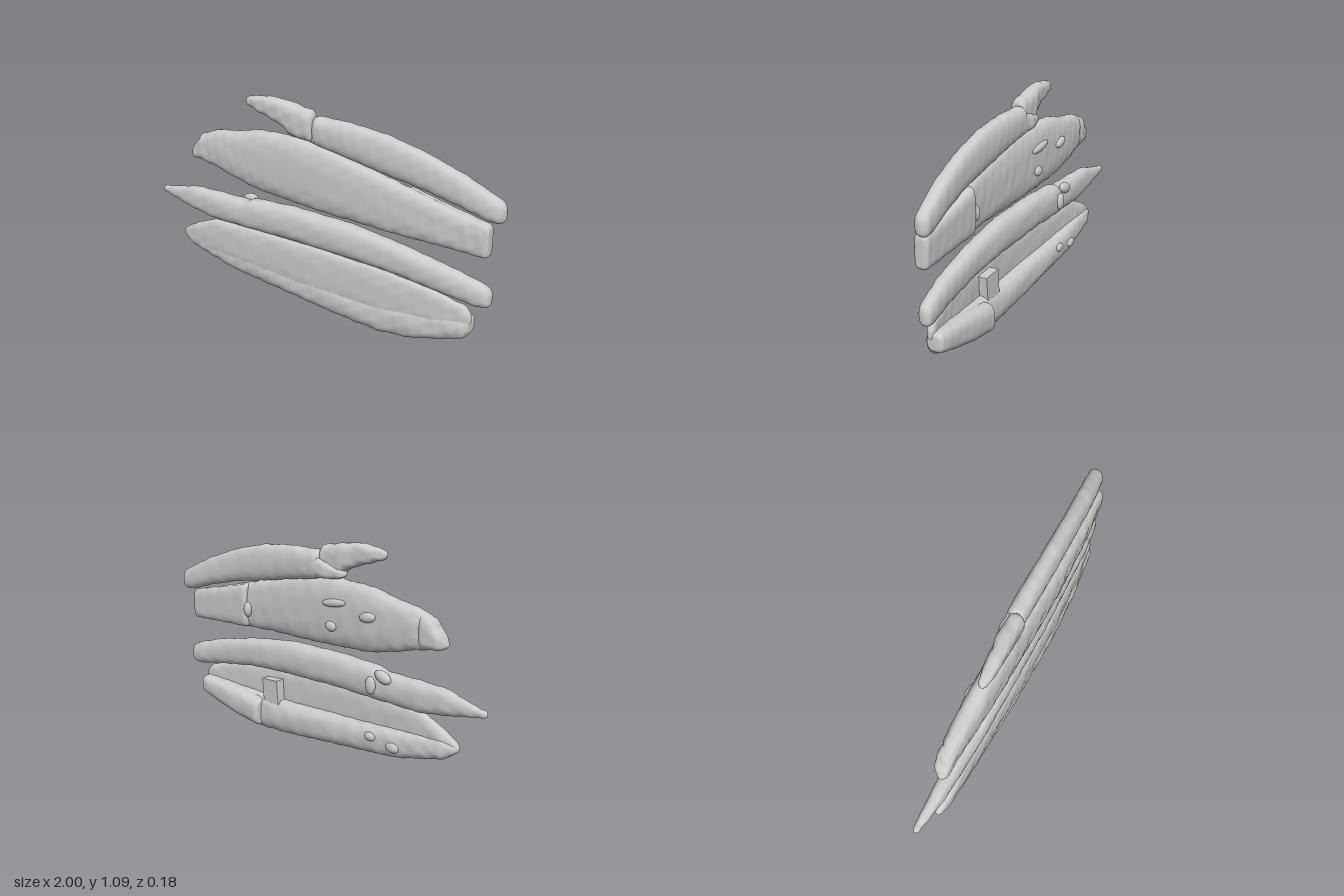
import * as THREE from 'three';

const material = new THREE.MeshStandardMaterial({ color: 0xcccccc, roughness: 0.9 });

// Gentle deterministic unevenness for the worn surface
function bump(x, y, z) {
  return Math.sin(31 * x + 17 * y + 2 * z) * Math.sin(43 * y - 13 * x + 5) * 0.5
    + Math.sin(71 * x - 39 * y + 30 * z) * Math.sin(67 * y + 23 * x) * 0.5;
}

// Interpolate the sections [x, yBottom, yTop, zBack, zFront] at x
function sectionAt(sections, x) {
  let i = 0;
  while (i < sections.length - 2 && x > sections[i + 1][0]) i++;
  const a = sections[i], b = sections[i + 1];
  const t = THREE.MathUtils.clamp((x - a[0]) / (b[0] - a[0]), 0, 1);
  return a.map((v, k) => v + (b[k] - v) * t);
}

// Closed rounded strip lofted along x, with rounded ends
function strip(name, sections, { round = 0.03, power = 2.8, rough = 0.004, rows = 110, sides = 36 } = {}) {
  const x0 = sections[0][0], x1 = sections[sections.length - 1][0];
  const pos = [], index = [];
  for (let i = 0; i <= rows; i++) {
    const x = x0 + (x1 - x0) * (0.5 - 0.5 * Math.cos(Math.PI * i / rows));
    const [, yb, yt, zb, zf] = sectionAt(sections, x);
    const d = Math.min(1, Math.min(x - x0, x1 - x) / round);
    const inset = round * (1 - Math.sqrt(Math.max(0, 1 - (1 - d) ** 2)));
    const hy = (yt - yb) / 2, hz = (zf - zb) / 2;
    const ry = Math.max(0, hy - Math.min(inset, hy * (1 - Math.sqrt(d * (2 - d)))));
    const rz = Math.max(0, hz - Math.min(inset, hz * (1 - Math.sqrt(d * (2 - d)))));
    const end = i === 0 || i === rows;
    for (let j = 0; j < sides; j++) {
      const a = j / sides * Math.PI * 2, c = Math.cos(a), s = Math.sin(a);
      const y = (yb + yt) / 2 + (end ? 0 : ry * Math.sign(c) * Math.abs(c) ** (2 / power));
      const z = (zb + zf) / 2 + (end ? 0 : rz * Math.sign(s) * Math.abs(s) ** (2 / power));
      const n = end ? 0 : rough * d * bump(x, y, z);
      pos.push(x, y + n * c, z + n * s);
    }
  }
  for (let i = 0; i < rows; i++) {
    for (let j = 0; j < sides; j++) {
      const a = i * sides + j, b = i * sides + (j + 1) % sides;
      index.push(a, b, a + sides, b, b + sides, a + sides);
    }
  }
  const geo = new THREE.BufferGeometry();
  geo.setAttribute('position', new THREE.Float32BufferAttribute(pos, 3));
  geo.setIndex(index);
  geo.computeVertexNormals();
  const mesh = new THREE.Mesh(geo, material);
  mesh.name = name;
  return mesh;
}

// Small lump on the back
function lump(name, x, y, z, rx, ry, rz, tilt = 0) {
  const mesh = new THREE.Mesh(new THREE.SphereGeometry(1, 16, 12), material);
  mesh.name = name;
  mesh.position.set(x, y, z);
  mesh.scale.set(rx, ry, rz);
  mesh.rotation.z = tilt;
  return mesh;
}

function part(name, ...meshes) {
  const g = new THREE.Group();
  g.name = name;
  g.add(...meshes);
  return g;
}

export function createModel() {
  const model = new THREE.Group();
  model.name = 'layeredStrips';

  // Top strip: curved body, broken tip and the tongue under the break
  model.add(part('topStrip',
    strip('topBody', [
      [0.0, 0.895, 1.035, -0.035, 0.06], [0.2, 0.86, 1.032, -0.04, 0.055],
      [0.4, 0.82, 1.01, -0.045, 0.045], [0.6, 0.785, 0.96, -0.055, 0.032],
      [0.8, 0.735, 0.885, -0.075, 0.015], [0.92, 0.695, 0.825, -0.088, -0.004], [0.995, 0.69, 0.79, -0.092, -0.02],
    ], { round: 0.035, rough: 0.002, power: 2.5 }),
    strip('topTip', [
      [-0.38, 1.04, 1.075, 0.04, 0.075], [-0.33, 1.025, 1.088, 0.025, 0.085],
      [-0.2, 0.98, 1.095, 0.01, 0.085], [-0.14, 0.955, 1.088, -0.005, 0.08],
      [-0.12, 0.925, 1.083, -0.01, 0.08], [0.012, 0.905, 1.06, -0.01, 0.07],
    ], { round: 0.025, rows: 60 }),
    strip('topTongue', [
      [-0.15, 0.915, 0.955, -0.01, 0.05], [-0.05, 0.905, 0.985, -0.035, 0.05], [0.06, 0.89, 1.01, -0.035, 0.05],
    ], { rows: 40 })));

  // Upper wide strip: body, thicker sleeve at the right and a loose nub at the left
  model.add(part('upperWideStrip',
    strip('upperBody', [
      [-0.71, 0.68, 0.81, 0.01, 0.075], [-0.6, 0.66, 0.855, -0.015, 0.08], [-0.5, 0.63, 0.865, -0.025, 0.083],
      [-0.33, 0.59, 0.902, -0.03, 0.085], [-0.1, 0.57, 0.912, -0.03, 0.085], [0.1, 0.56, 0.885, -0.025, 0.083],
      [0.4, 0.55, 0.82, -0.022, 0.073], [0.7, 0.54, 0.745, -0.03, 0.048], [0.945, 0.53, 0.68, -0.045, 0.015],
    ]),
    strip('upperSleeve', [
      [0.52, 0.55, 0.785, -0.048, 0.05], [0.7, 0.54, 0.74, -0.052, 0.04], [0.945, 0.528, 0.685, -0.056, 0.015],
    ], { round: 0.02, power: 4, rough: 0.002, rows: 50 }),
    strip('upperNub', [
      [-0.76, 0.69, 0.72, 0.03, 0.07], [-0.72, 0.68, 0.775, 0.0, 0.078],
      [-0.68, 0.675, 0.82, -0.01, 0.08], [-0.62, 0.665, 0.845, -0.015, 0.08],
    ], { rows: 40 }),
    lump('backLump', -0.34, 0.77, -0.03, 0.05, 0.025, 0.018, -0.2),
    lump('backLump', -0.12, 0.8, -0.03, 0.08, 0.02, 0.014, -0.15),
    lump('backLump', -0.1, 0.68, -0.03, 0.035, 0.025, 0.015),
    lump('sleeveLump', 0.51, 0.65, -0.03, 0.025, 0.04, 0.02)));

  // Lower long strip tapering to a thin point
  model.add(part('lowerLongStrip',
    strip('longBody', [
      [-1.0, 0.425, 0.465, 0.015, 0.05], [-0.96, 0.425, 0.462, 0.014, 0.052], [-0.78, 0.385, 0.505, 0.0, 0.075],
      [-0.62, 0.36, 0.512, -0.01, 0.08], [-0.4, 0.36, 0.508, -0.02, 0.084], [-0.37, 0.36, 0.527, -0.022, 0.084],
      [-0.1, 0.362, 0.535, -0.03, 0.08], [0.2, 0.352, 0.527, -0.035, 0.073], [0.5, 0.335, 0.487, -0.04, 0.055],
      [0.75, 0.295, 0.435, -0.052, 0.035], [0.9, 0.268, 0.392, -0.066, 0.01], [0.96, 0.27, 0.365, -0.072, -0.003],
    ], { power: 2.5, rough: 0.003 }),
    lump('breakLump', -0.43, 0.495, -0.015, 0.05, 0.03, 0.022, 0.3),
    lump('breakLump', -0.36, 0.44, -0.025, 0.03, 0.045, 0.018)));

  // Bottom strip: thin upper plate, thick lower rim, raised rim sleeve and bridging block
  const block = new THREE.Mesh(new THREE.BoxGeometry(0.11, 0.13, 0.08), material);
  block.name = 'bridgeBlock';
  block.position.set(0.35, 0.23, 0.015);
  block.rotation.z = -0.08;
  model.add(part('bottomStrip',
    strip('bottomPlate', [
      [-0.845, 0.215, 0.255, 0.03, 0.065], [-0.75, 0.17, 0.305, 0.015, 0.078], [-0.62, 0.15, 0.358, 0.02, 0.083],
      [-0.4, 0.14, 0.366, 0.028, 0.086], [0, 0.12, 0.366, 0.03, 0.085], [0.4, 0.11, 0.35, 0.02, 0.072],
      [0.7, 0.12, 0.308, -0.005, 0.045], [0.84, 0.15, 0.265, -0.025, 0.022], [0.88, 0.16, 0.235, -0.03, 0.012],
    ], { rough: 0.003 }),
    strip('bottomRim', [
      [-0.84, 0.215, 0.25, 0.025, 0.06], [-0.76, 0.165, 0.265, 0.0, 0.075], [-0.5, 0.1, 0.24, -0.02, 0.082],
      [-0.2, 0.065, 0.215, -0.03, 0.084], [0, 0.045, 0.205, -0.035, 0.084], [0.25, 0.018, 0.19, -0.04, 0.08],
      [0.4, 0.005, 0.19, -0.04, 0.074], [0.6, 0.025, 0.195, -0.04, 0.06], [0.84, 0.09, 0.205, -0.045, 0.03],
      [0.87, 0.11, 0.2, -0.05, 0.02],
    ], { power: 2.4 }),
    strip('rimSleeve', [
      [0.41, 0.025, 0.175, -0.077, 0.05], [0.6, 0.045, 0.195, -0.078, 0.045],
      [0.83, 0.1, 0.21, -0.076, 0.025], [0.875, 0.115, 0.205, -0.072, 0.015],
    ], { round: 0.02, rough: 0.002, rows: 50 }),
    block,
    lump('rimLump', -0.5, 0.16, -0.02, 0.04, 0.025, 0.015),
    lump('rimLump', -0.36, 0.18, -0.025, 0.035, 0.022, 0.014)));

  return model;
}
